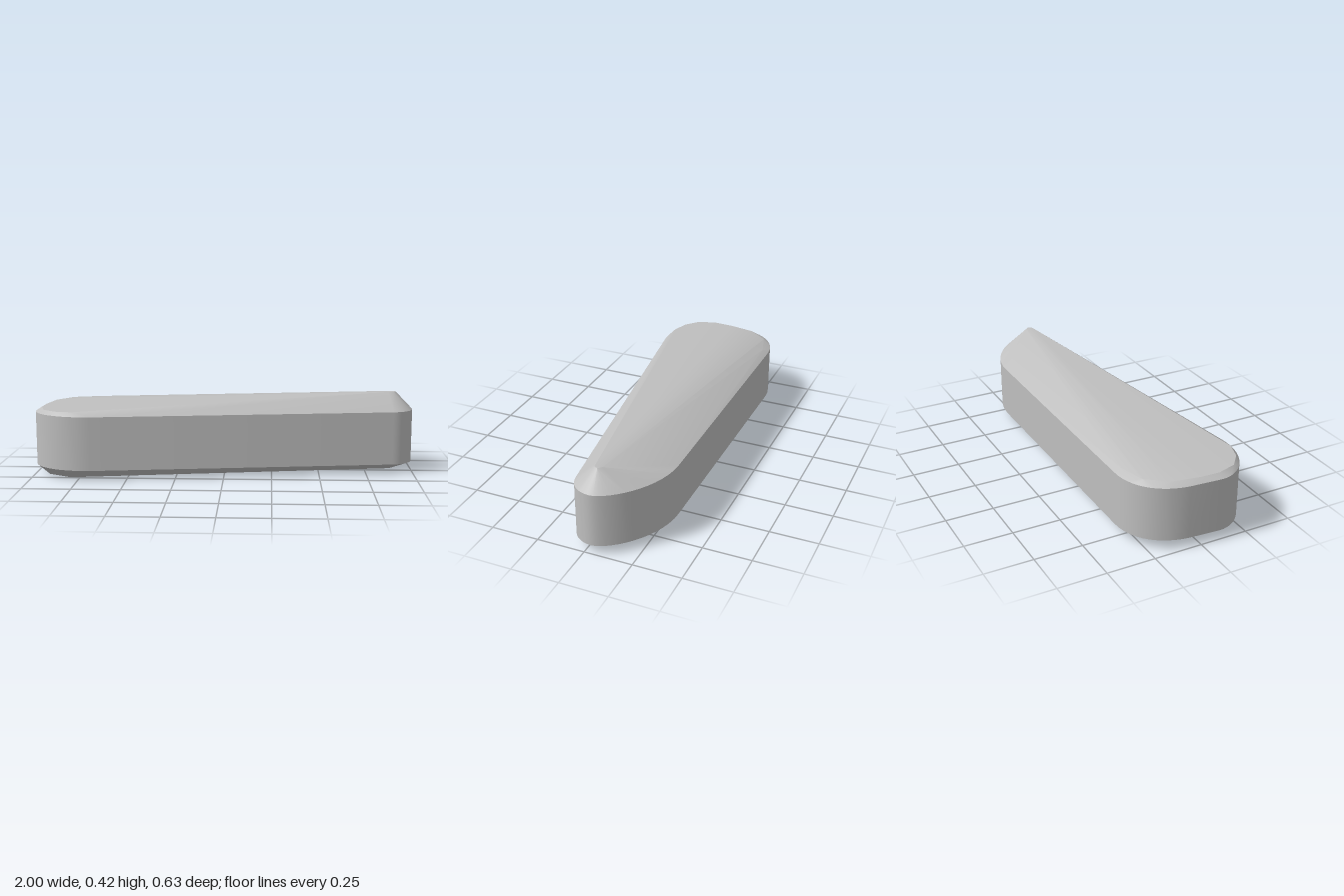
import * as THREE from 'three';
import { ConvexGeometry } from 'three/addons/geometries/ConvexGeometry.js';
import { toCreasedNormals } from 'three/addons/utils/BufferGeometryUtils.js';

const RIM_TOP = 0.33;
const RIM_BOTTOM = 0.05;

// Plan outline (x, z): broad rounded end at -x, narrow nose at +x
function makeOutline() {
  const s = new THREE.Shape();
  s.moveTo(0.6, -0.315);
  s.lineTo(-0.72, -0.315);
  s.bezierCurveTo(-0.88, -0.315, -0.985, -0.2, -0.99, -0.03);
  s.lineTo(-1, 0.1);
  s.bezierCurveTo(-1, 0.22, -0.85, 0.33, -0.68, 0.31);
  s.lineTo(0.89, 0.087);
  s.bezierCurveTo(0.96, 0.075, 1, 0.02, 1, -0.04);
  s.bezierCurveTo(1, -0.12, 0.83, -0.315, 0.6, -0.315);
  return s.getPoints(14);
}

export function createModel() {
  const group = new THREE.Group();
  const grey = new THREE.MeshStandardMaterial({ color: 0xbfbfbf });
  grey.name = 'grey';

  // Vertical wall between two equal rims
  const points = [];
  for (const p of makeOutline()) {
    points.push(new THREE.Vector3(p.x, RIM_BOTTOM, p.y), new THREE.Vector3(p.x, RIM_TOP, p.y));
  }

  // Top: low bevelled edge round the broad end, rising to a small peak over the nose
  const top = [
    [-0.72, 0.35, -0.285], [-0.86, 0.35, -0.245], [-0.94, 0.35, -0.14], [-0.965, 0.35, 0],
    [-0.97, 0.35, 0.1], [-0.94, 0.35, 0.2], [-0.87, 0.35, 0.26], [-0.78, 0.352, 0.288],
    [0.87, 0.423, -0.015], [0.9, 0.423, -0.02], [0.91, 0.423, -0.04], [0.89, 0.423, -0.058],
  ];

  // Underside: shallow tilted keel, deepest at the front of the broad end
  const bottom = [
    [-0.72, 0.03, -0.28], [-0.9, 0.024, -0.15], [-0.93, 0.008, 0.1], [-0.92, 0.003, 0.18],
    [-0.8, 0, 0.24], [-0.72, 0.03, 0.287], [0.88, 0.013, 0.01], [0.91, 0.013, -0.03],
    [0.87, 0.013, -0.08],
  ];
  for (const p of [...top, ...bottom]) points.push(new THREE.Vector3(...p));

  // The whole solid is convex, so its hull gives one clean closed skin
  const geometry = toCreasedNormals(new ConvexGeometry(points), 0.45);
  const body = new THREE.Mesh(geometry, grey);
  body.name = 'taperedBody';
  group.add(body);
  return group;
}
